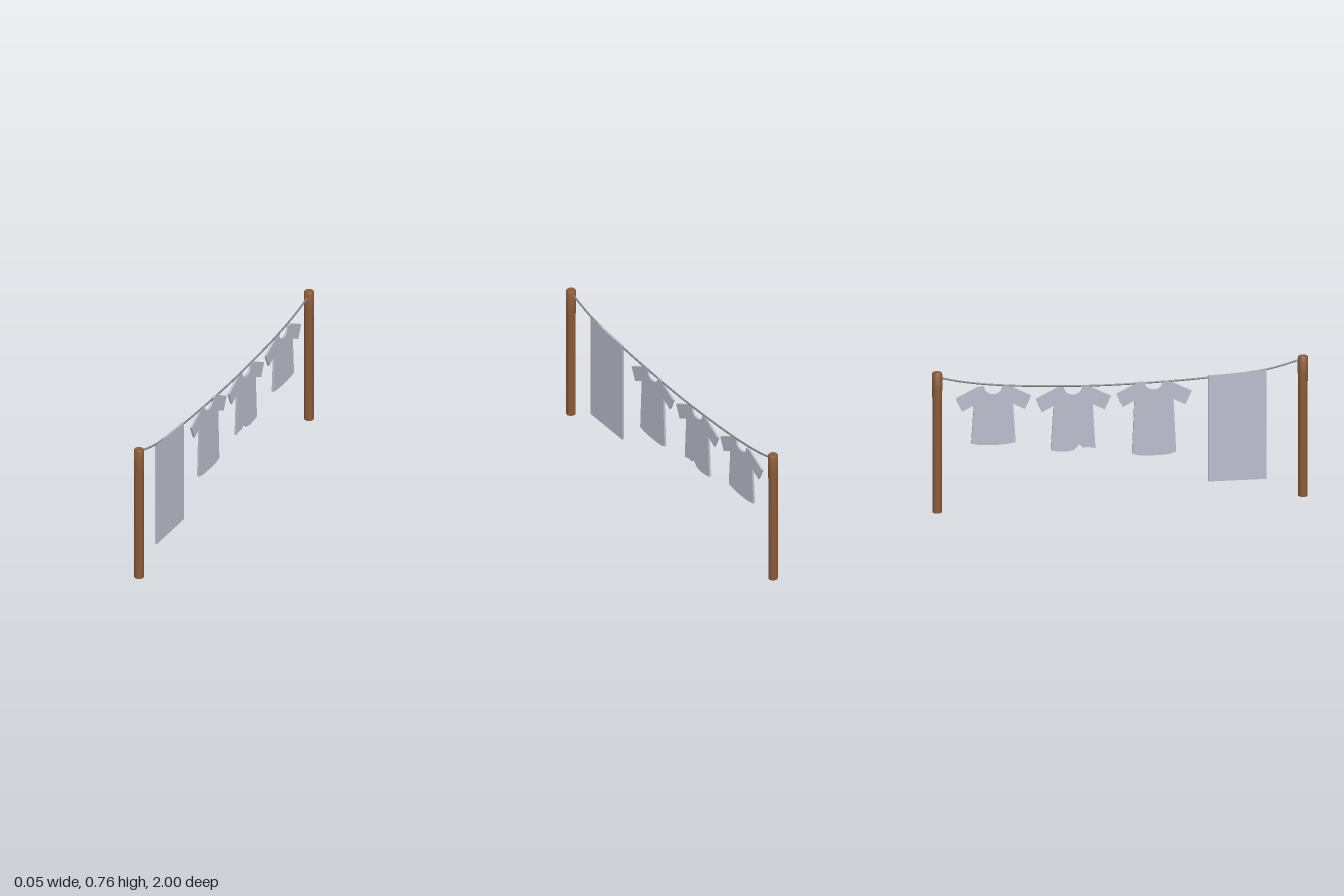
import * as THREE from 'three';
import { toCreasedNormals } from 'three/addons/utils/BufferGeometryUtils.js';

const wood = new THREE.MeshStandardMaterial({ color: 0x8a5a38, name: 'brown wood' });
const cloth = new THREE.MeshStandardMaterial({ color: 0xbabccb, name: 'pale cloth' });
const cord = new THREE.MeshStandardMaterial({ color: 0x85868a, name: 'grey cord' });

const THICK = 0.011;

// Extrude a flat outline and turn it so that shape x runs along world z
function clothPanel(name, shape) {
  const geo = new THREE.ExtrudeGeometry(shape, { depth: THICK, bevelEnabled: false, curveSegments: 8 });
  geo.translate(0, 0, -THICK / 2);
  geo.rotateY(-Math.PI / 2);
  const mesh = new THREE.Mesh(geo, cloth);
  mesh.name = name;
  return mesh;
}

// Shirt with a common upper half; the hem runs from +x to -x
function shirtShape(hem) {
  const s = new THREE.Shape();
  s.moveTo(-0.05, 0);
  s.quadraticCurveTo(-0.044, -0.044, 0, -0.045);
  s.quadraticCurveTo(0.044, -0.044, 0.05, 0);
  s.lineTo(0.08, 0);
  s.lineTo(0.2, -0.06);
  s.lineTo(0.167, -0.132);
  s.lineTo(0.104, -0.1);
  hem.forEach(([x, y]) => s.lineTo(x, y));
  s.lineTo(-0.104, -0.1);
  s.lineTo(-0.167, -0.132);
  s.lineTo(-0.2, -0.06);
  s.lineTo(-0.08, 0);
  s.closePath();
  return s;
}

export function createModel() {
  const model = new THREE.Group();
  model.name = 'clothesline';

  // Posts: slightly wider head with a rounded rim
  const profile = [[0, 0], [0.025, 0], [0.025, 0.62], [0.0275, 0.67], [0.0275, 0.752],
    [0.0262, 0.76], [0.0225, 0.765], [0, 0.765]].map(([x, y]) => new THREE.Vector2(x, y));
  const postGeo = toCreasedNormals(new THREE.LatheGeometry(profile, 24), 0.7);
  [['frontPost', 0.9725], ['backPost', -0.9725]].forEach(([name, z]) => {
    const post = new THREE.Mesh(postGeo, wood);
    post.name = name;
    post.position.z = z;
    model.add(post);
  });

  // Sagging line
  const sag = [[0.97, 0.748], [0.78, 0.7], [0.475, 0.67], [0.25, 0.659], [-0.07, 0.653],
    [-0.287, 0.658], [-0.6, 0.676], [-0.823, 0.704], [-0.97, 0.737]];
  const curve = new THREE.CatmullRomCurve3(sag.map(([z, y]) => new THREE.Vector3(0, y, z)));
  const line = new THREE.Mesh(new THREE.TubeGeometry(curve, 64, 0.005, 8), cord);
  line.name = 'line';
  model.add(line);

  // Towel with its top edge following the line
  const towel = new THREE.Shape();
  [[0.777, 0.102], [0.777, 0.699], [0.65, 0.689], [0.55, 0.683], [0.47, 0.68], [0.47, 0.102]]
    .forEach(([x, y], i) => (i ? towel.lineTo(x, y) : towel.moveTo(x, y)));
  towel.closePath();
  model.add(clothPanel('towel', towel));

  // Shirts: position along the line, shoulder height, hem outline
  const shirts = [
    ['longShirt', 0.18, 0.662,
      [[0.118, -0.389], [0.08, -0.4], [0.03, -0.403], [-0.03, -0.403], [-0.08, -0.4], [-0.116, -0.389]]],
    ['tornShirt', -0.249, 0.654,
      [[0.118, -0.342], [0.075, -0.332], [0.054, -0.337], [0.032, -0.317], [0, -0.348],
        [-0.038, -0.354], [-0.08, -0.351], [-0.118, -0.343]]],
    ['shortShirt', -0.673, 0.676,
      [[0.118, -0.311], [0.064, -0.319], [0, -0.322], [-0.07, -0.319], [-0.118, -0.309]]],
  ];
  shirts.forEach(([name, z, y, hem]) => {
    const shirt = clothPanel(name, shirtShape(hem));
    shirt.position.set(0, y, z);
    model.add(shirt);
  });

  return model;
}
